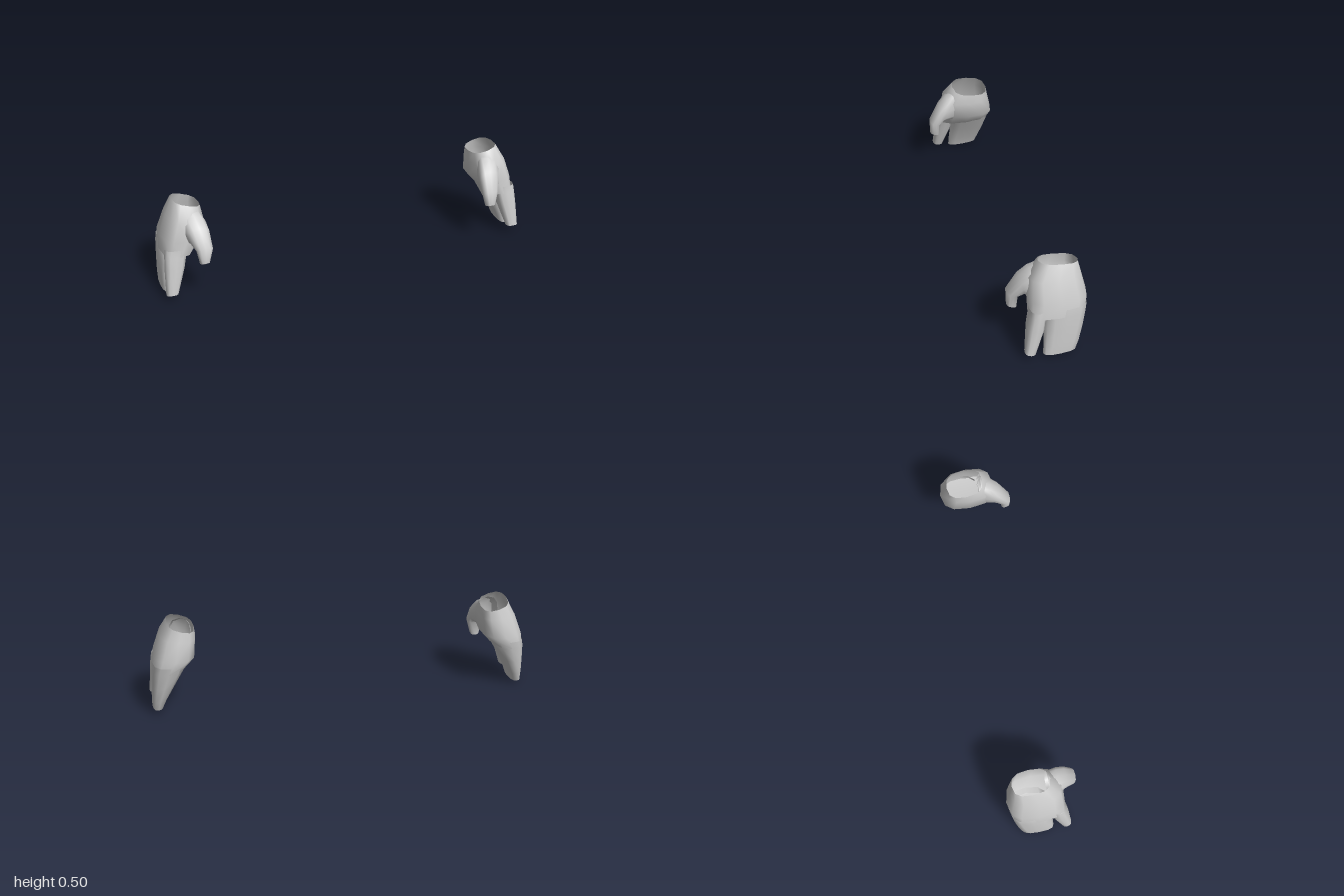
import * as THREE from 'three';

const SIDES = 12;
const material = new THREE.MeshStandardMaterial({ color: 0xcccccc, side: THREE.DoubleSide });

// Each section: front [z, y], back [z, y], x range, slope of y across x.
function loft(name, sections, capped) {
  const pos = [], index = [];
  const power = (v) => Math.sign(v) * Math.abs(v) ** 0.75;
  const addRing = ([zA, yA, zB, yB, x0, x1, slope = 0]) => {
    for (let j = 0; j < SIDES; j++) {
      const a = (j / SIDES) * Math.PI * 2;
      const c = power(Math.cos(a)) / 2, s = power(Math.sin(a)) / 2;
      const dx = s * (x1 - x0);
      pos.push((x0 + x1) / 2 + dx, (yA + yB) / 2 + c * (yA - yB) + slope * dx,
        (zA + zB) / 2 + c * (zA - zB));
    }
  };
  sections.forEach(addRing);
  for (let i = 0; i < sections.length - 1; i++) {
    for (let j = 0; j < SIDES; j++) {
      const a = i * SIDES + j, b = i * SIDES + (j + 1) % SIDES;
      index.push(a, a + SIDES, b, b, a + SIDES, b + SIDES);
    }
  }
  if (capped) {
    // Separate cap ring keeps the tip edge sharp
    const last = sections[sections.length - 1], start = pos.length / 3;
    addRing(last);
    pos.push((last[4] + last[5]) / 2, (last[1] + last[3]) / 2 - 0.008, (last[0] + last[2]) / 2);
    for (let j = 0; j < SIDES; j++) index.push(start + SIDES, start + (j + 1) % SIDES, start + j);
  }
  const geometry = new THREE.BufferGeometry();
  geometry.setAttribute('position', new THREE.Float32BufferAttribute(pos, 3));
  geometry.setIndex(index);
  geometry.computeVertexNormals();
  const mesh = new THREE.Mesh(geometry, material);
  mesh.name = name;
  return mesh;
}

function makeHand(name) {
  const hand = new THREE.Group();
  hand.name = name;
  hand.add(
    // Open wrist widening into the palm
    loft('palm', [
      [0.035, 0.495, -0.16, 0.473, 0.765, 0.905, 0.28],
      [0.09, 0.425, -0.172, 0.42, 0.758, 0.945, 0.1],
      [0.1, 0.33, -0.195, 0.32, 0.765, 0.983],
      [0.103, 0.25, -0.181, 0.25, 0.83, 0.992],
    ], true),
    // Three outer fingers as one block
    loft('outerFingers', [
      [0.02, 0.29, -0.188, 0.29, 0.81, 0.986],
      [0.025, 0.25, -0.181, 0.25, 0.832, 0.992],
      [0.03, 0.172, -0.165, 0.168, 0.877, 0.995],
      [0.036, 0.08, -0.143, 0.085, 0.922, 0.998],
      [0.038, 0.028, -0.125, 0.036, 0.942, 0.997],
    ], true),
    loft('indexFinger', [
      [0.1, 0.29, 0.02, 0.29, 0.855, 0.982],
      [0.104, 0.25, 0.024, 0.25, 0.875, 0.988],
      [0.116, 0.193, 0.032, 0.18, 0.89, 0.993],
      [0.131, 0.055, 0.078, 0.048, 0.938, 1.0],
    ], true),
    loft('thumb', [
      [0.025, 0.48, 0.02, 0.3, 0.775, 0.89],
      [0.075, 0.452, 0.085, 0.305, 0.762, 0.885],
      [0.122, 0.408, 0.1, 0.308, 0.757, 0.868],
      [0.179, 0.312, 0.124, 0.292, 0.757, 0.843],
      [0.179, 0.235, 0.13, 0.217, 0.779, 0.828],
    ], true),
  );
  return hand;
}

export function createModel() {
  const model = new THREE.Group();
  const left = makeHand('leftHand');
  // Mirrored hand sits slightly lower and further forward
  const right = makeHand('rightHand');
  right.scale.x = -1;
  right.position.set(0, -0.014, 0.015);
  model.add(left, right);
  return model;
}
